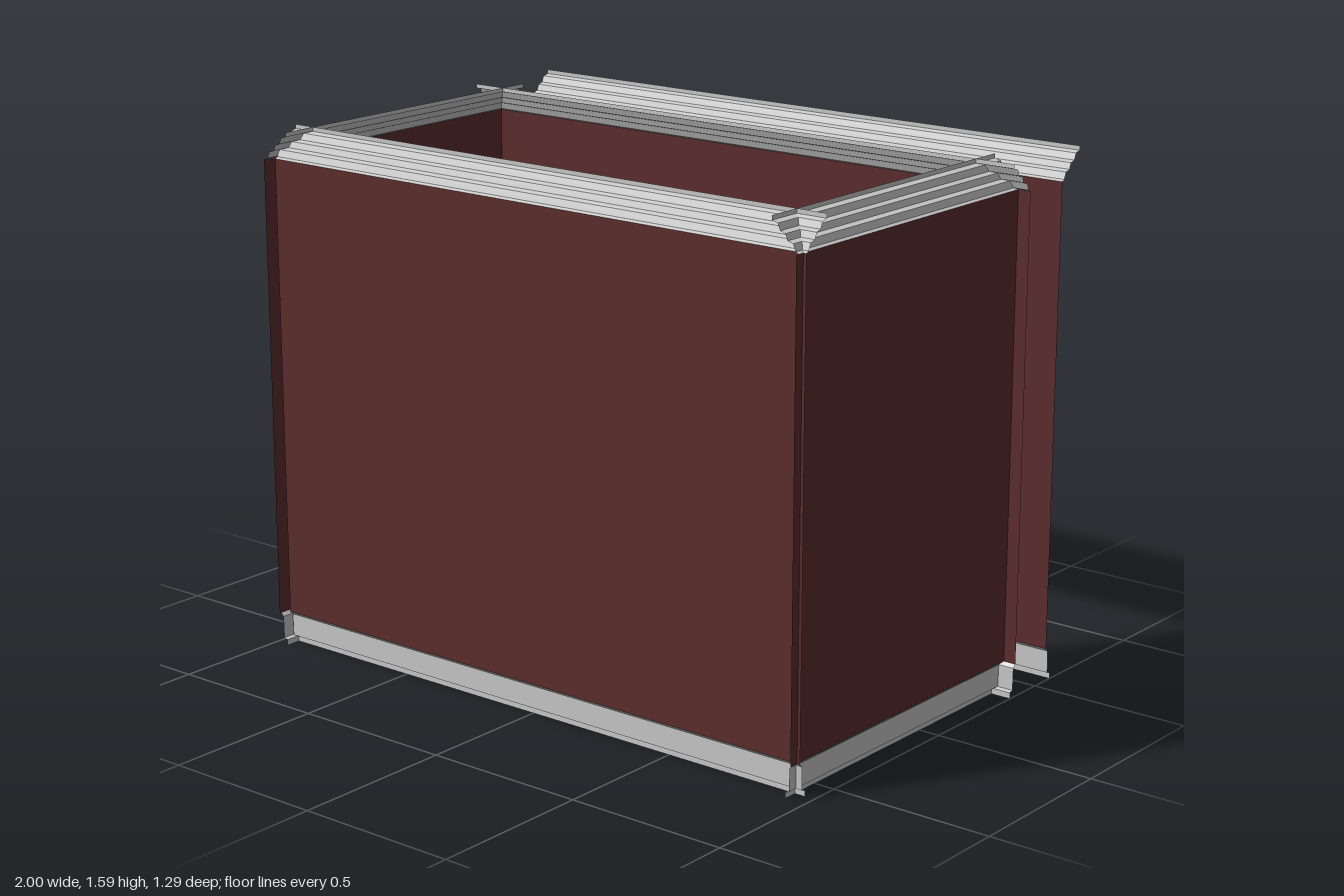
import * as THREE from 'three';

const wallMat = new THREE.MeshStandardMaterial({ color: 0x5d2d2d, side: THREE.DoubleSide });
const trimMat = new THREE.MeshStandardMaterial({ color: 0xcccccc, side: THREE.DoubleSide, flatShading: true });

// Trim profiles: [distance out from the wall, height]
const BASE = [[0, 0.1], [0.01, 0.09], [0.011, 0.022], [0.024, 0.018], [0.024, 0]];
const CROWN = [[0, 1.5], [0.01, 1.505], [0.018, 1.525], [0.036, 1.53], [0.043, 1.548],
  [0.06, 1.553], [0.068, 1.572], [0.087, 1.577], [0.087, 1.59]];

const WALL_LOW = 0.1, WALL_TOP = 1.5;
const FRONT_Z = 0.615, INNER_Z = -0.39, OUTER_Z = -0.555;
const LEFT_X = 0.96, RIGHT_X = -0.975, SIDE_FRONT = 0.645, SIDE_BACK = -0.4;
const DOOR = { x0: -0.735, x1: 0.72, top: 1.21 };

// Sweeps an open profile along a mitred floor path [x, z]; the trim projects to [dz, -dx] of each run
function sweep(path, profile) {
  const normals = path.slice(1).map(([x, z], i) => {
    const dx = x - path[i][0], dz = z - path[i][1], l = Math.hypot(dx, dz);
    return [dz / l, -dx / l];
  });
  const rings = path.map(([x, z], i) => {
    const a = normals[Math.max(i - 1, 0)], b = normals[Math.min(i, normals.length - 1)];
    const k = 1 + a[0] * b[0] + a[1] * b[1];
    const mx = (a[0] + b[0]) / k, mz = (a[1] + b[1]) / k;
    return profile.map(([d, y]) => [x + mx * d, y, z + mz * d]);
  });
  const pos = [];
  for (let i = 0; i < rings.length - 1; i++) {
    for (let j = 0; j < profile.length - 1; j++) {
      const a = rings[i][j], b = rings[i][j + 1], c = rings[i + 1][j + 1], d = rings[i + 1][j];
      pos.push(...a, ...d, ...b, ...b, ...d, ...c);
    }
  }
  const geo = new THREE.BufferGeometry();
  geo.setAttribute('position', new THREE.Float32BufferAttribute(pos, 3));
  geo.computeVertexNormals();
  return geo;
}

export function createModel() {
  const room = new THREE.Group();
  room.name = 'room';

  const add = (name, geo, mat) => {
    const mesh = new THREE.Mesh(geo, mat);
    mesh.name = name;
    room.add(mesh);
    return mesh;
  };
  const trim = (name, path, profile) => add(name, sweep(path, profile), trimMat);

  // Solid walls: front and both sides
  const wallHeight = WALL_TOP - WALL_LOW, midY = (WALL_TOP + WALL_LOW) / 2;
  const front = add('frontWall', new THREE.PlaneGeometry(1.93, wallHeight), wallMat);
  front.position.set(0.005, midY, FRONT_Z);
  front.rotation.y = Math.PI;
  for (const [name, x, turn] of [['leftWall', LEFT_X, -1], ['rightWall', RIGHT_X, 1]]) {
    const wall = add(name, new THREE.PlaneGeometry(SIDE_FRONT - SIDE_BACK, wallHeight), wallMat);
    wall.position.set(x, midY, (SIDE_FRONT + SIDE_BACK) / 2);
    wall.rotation.y = turn * Math.PI / 2;
  }

  // Two skins of the back wall, each with the wide doorway cut out
  const outline = [[-1, WALL_LOW], [DOOR.x0, WALL_LOW], [DOOR.x0, DOOR.top], [DOOR.x1, DOOR.top],
    [DOOR.x1, WALL_LOW], [1, WALL_LOW], [1, WALL_TOP], [-1, WALL_TOP]];
  const skin = new THREE.Shape(outline.map(([x, y]) => new THREE.Vector2(x, y)));
  add('backWallInner', new THREE.ShapeGeometry(skin), wallMat).position.z = INNER_Z;
  const outer = add('backWallOuter', new THREE.ShapeGeometry(skin), wallMat);
  outer.geometry.scale(-1, 1, 1);
  outer.rotation.y = Math.PI;
  outer.position.z = OUTER_Z;
  const idx = outer.geometry.index; // restore winding after the mirror
  for (let i = 0; i < idx.count; i += 3) {
    const t = idx.getX(i);
    idx.setX(i, idx.getX(i + 1));
    idx.setX(i + 1, t);
  }

  // Doorway reveals on either side of the frame
  const doorW = DOOR.x1 - DOOR.x0, doorMid = (DOOR.x0 + DOOR.x1) / 2;
  for (const [z0, z1] of [[INNER_Z, -0.453], [-0.497, OUTER_Z]]) {
    const depth = z0 - z1, z = (z0 + z1) / 2;
    const soffit = add('doorwaySoffit', new THREE.PlaneGeometry(doorW, depth), wallMat);
    soffit.rotation.x = Math.PI / 2;
    soffit.position.set(doorMid, DOOR.top, z);
    for (const [x, turn] of [[DOOR.x0, 1], [DOOR.x1, -1]]) {
      const jamb = add('doorwayReveal', new THREE.PlaneGeometry(depth, DOOR.top - WALL_LOW), wallMat);
      jamb.rotation.y = turn * Math.PI / 2;
      jamb.position.set(x, (DOOR.top + WALL_LOW) / 2, z);
    }
  }

  // Door frame: two posts and a header
  const frameX0 = -0.71, frameX1 = 0.695, frameTop = 1.195, bar = 0.022, frameZ = -0.475, frameD = 0.044;
  for (const x of [frameX0 - bar / 2 + 0.011, frameX1 + bar / 2 - 0.011]) {
    const post = add('framePost', new THREE.BoxGeometry(bar, frameTop, frameD), trimMat);
    post.position.set(x, frameTop / 2, frameZ);
  }
  const header = add('frameHeader', new THREE.BoxGeometry(frameX1 - frameX0, 0.015, frameD), trimMat);
  header.position.set((frameX0 + frameX1) / 2, frameTop - 0.0075, frameZ);

  // Runs shared by the baseboards and crown mouldings
  const runs = {
    front: [[-0.96, FRONT_Z], [0.97, FRONT_Z]],
    left: [[LEFT_X, SIDE_FRONT - 0.01], [LEFT_X, SIDE_BACK]],
    right: [[RIGHT_X, SIDE_BACK], [RIGHT_X, SIDE_FRONT - 0.005]],
  };
  for (const [side, path] of Object.entries(runs)) {
    trim(side + 'Baseboard', path, BASE);
    trim(side + 'Crown', path, CROWN);
  }
  trim('innerBackCrown', [[1, INNER_Z], [-1, INNER_Z]], CROWN);
  trim('outerBackCrown', [[-1, OUTER_Z], [1, OUTER_Z]], CROWN);

  // Baseboards that wrap the wall ends through the doorway
  trim('leftDoorBaseboard', [[1, INNER_Z], [DOOR.x1, INNER_Z], [DOOR.x1, OUTER_Z], [1, OUTER_Z]], BASE);
  trim('rightDoorBaseboard', [[-1, OUTER_Z], [DOOR.x0, OUTER_Z], [DOOR.x0, INNER_Z], [-1, INNER_Z]], BASE);

  return room;
}
